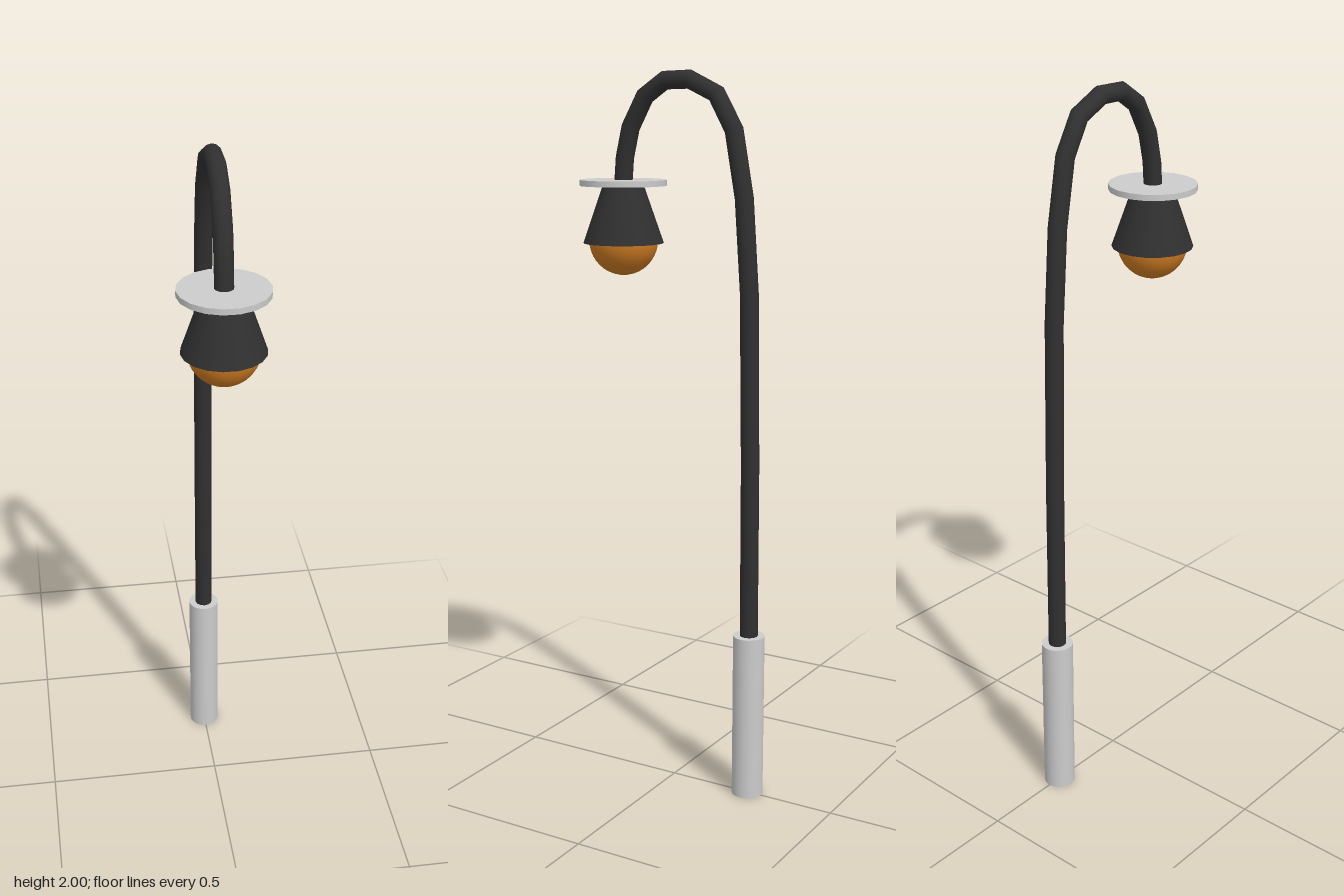
import * as THREE from 'three';

const POLE_Z = -0.24, LAMP_Z = 0.163;

export function createModel() {
  const model = new THREE.Group();
  model.name = 'streetLamp';

  const grey = new THREE.MeshStandardMaterial({ color: 0xcccccc });
  const dark = new THREE.MeshStandardMaterial({ color: 0x303030 });
  const amber = new THREE.MeshStandardMaterial({ color: 0xcc7a22 });

  const add = (name, geometry, material, y, z) => {
    const mesh = new THREE.Mesh(geometry, material);
    mesh.name = name;
    mesh.position.set(0, y, z);
    model.add(mesh);
    return mesh;
  };

  // Upright sleeve at the foot of the pole
  add('baseSleeve', new THREE.CylinderGeometry(0.044, 0.044, 0.47, 32), grey, 0.235, POLE_Z);

  // Pole bending over into a hook, as [z, y]; one tube ring per point
  const path = [
    [POLE_Z, 0.45], [-0.238, 0.95], [-0.23, 1.42], [-0.212, 1.67], [-0.18, 1.845],
    [-0.127, 1.937], [-0.045, 1.975], [0.03, 1.973], [0.092, 1.932],
    [0.138, 1.85], [0.157, 1.77], [LAMP_Z, 1.695],
  ].map(([z, y]) => new THREE.Vector3(0, y, z));
  const curve = new THREE.CatmullRomCurve3(path);
  curve.getPointAt = (t, target) => curve.getPoint(t, target);
  curve.getTangentAt = (t, target) => curve.getTangent(t, target);
  add('curvedPole', new THREE.TubeGeometry(curve, path.length - 1, 0.025, 12), dark, 0, 0);

  // Lamp head: flat disc, tapered shade and round bulb
  const disc = add('lampDisc', new THREE.CylinderGeometry(0.12, 0.12, 0.016, 18), grey, 1.702, LAMP_Z);
  disc.rotation.y = Math.PI / 2;
  add('lampShade', new THREE.CylinderGeometry(0.056, 0.111, 0.158, 18), dark, 1.617, LAMP_Z)
    .rotation.y = Math.PI / 2;
  add('bulb', new THREE.SphereGeometry(0.095, 32, 20), amber, 1.545, LAMP_Z);

  return model;
}
